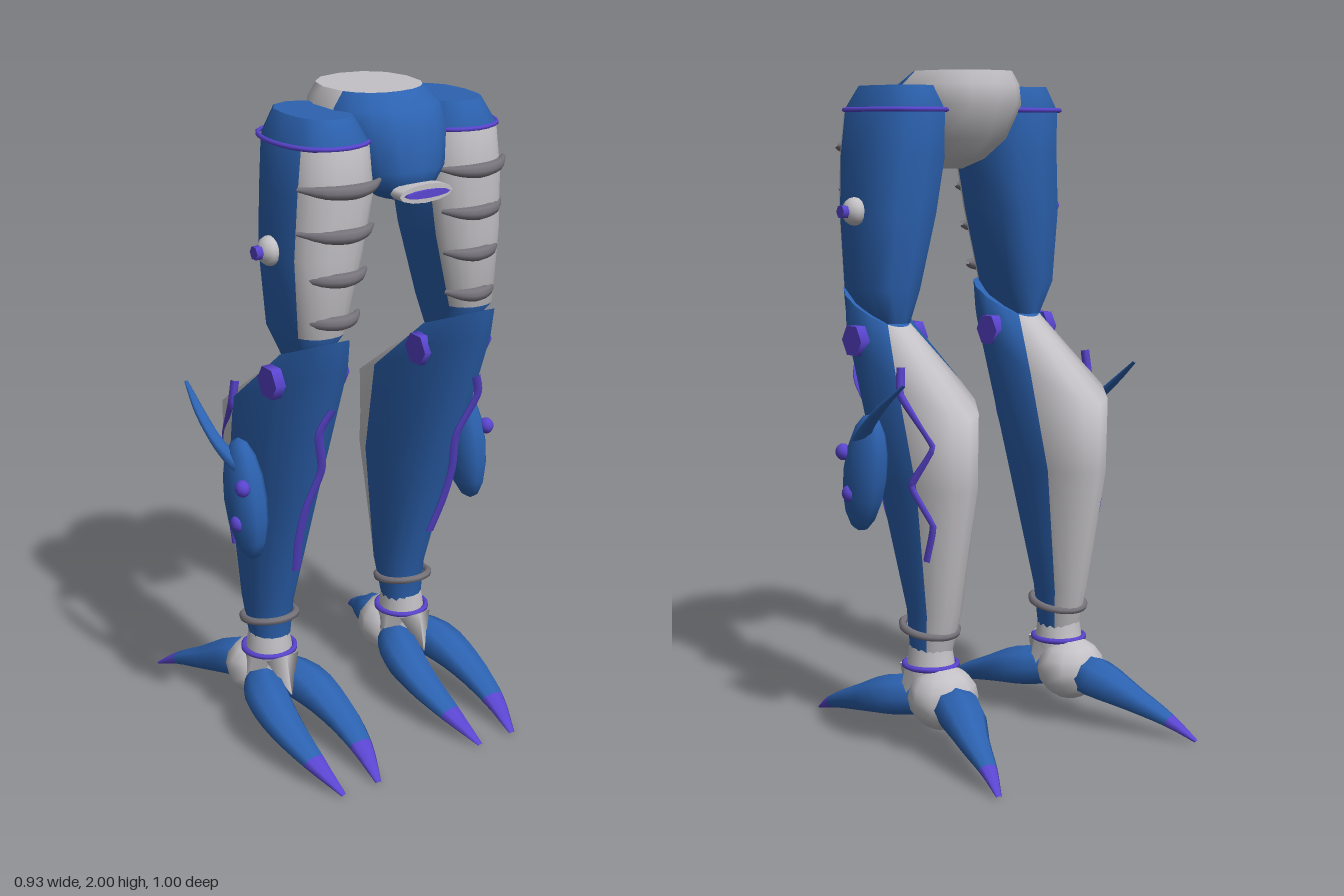
import * as THREE from 'three';

const mat = (name, color) => Object.assign(new THREE.MeshStandardMaterial({ color }), { name });
const blue = mat('blue hide', 0x2c62b0);
const grey = mat('pale armour', 0xc3c1c5);
const purple = mat('purple trim', 0x5a45d0);
const dark = mat('dark ridge', 0x77747c);

const V = (x, y, z) => new THREE.Vector3(x, y, z);
const pow = (v, e) => Math.sign(v) * Math.abs(v) ** e;

function mesh(name, geometry, material) {
  const m = new THREE.Mesh(geometry, material);
  m.name = name;
  return m;
}

// Geometry from positions and one index list per material
function build(pos, lists) {
  const g = new THREE.BufferGeometry();
  g.setAttribute('position', new THREE.Float32BufferAttribute(pos, 3));
  g.setIndex(lists.flat());
  let start = 0;
  lists.forEach((l, i) => { g.addGroup(start, l.length, i); start += l.length; });
  g.computeVertexNormals();
  return g;
}

// Upright body from rings, top to bottom. Each ring has a front and a back arc, parted at
// the cosine "split"; front, back and cap give the material number of each face.
function body(name, rings, mats, { e = 1, nF = 8, nB = 8, back = 1, cap = 0 } = {}) {
  const n = nF + nB, pos = [], lists = mats.map(() => []);
  const pts = rings.map(({ y, x, z, split = 0, tilt = 0 }) => {
    const a = Math.acos(split);
    return Array.from({ length: n }, (_, i) => {
      const t = i <= nF ? -a + (2 * a * i) / nF : a + (2 * (Math.PI - a) * (i - nF)) / nB;
      const c = pow(Math.cos(t), e), s = pow(Math.sin(t), e);
      return V((x[0] + x[1]) / 2 + s * (x[1] - x[0]) / 2, y + tilt * c,
        (z[0] + z[1]) / 2 + c * (z[1] - z[0]) / 2);
    });
  });
  pts.flat().forEach(p => pos.push(p.x, p.y, p.z));
  for (let r = 0; r + 1 < rings.length; r++) for (let i = 0; i < n; i++) {
    const j = (i + 1) % n, u = r * n, d = u + n;
    const k = i < nF ? rings[r].front ?? 0 : back;
    lists[k].push(d + i, d + j, u + j, d + i, u + j, u + i);
  }
  // end caps
  [pts[0], pts[pts.length - 1]].forEach((ring, end) => {
    const base = pos.length / 3;
    const mid = ring.reduce((s, p) => s.add(p), V(0, 0, 0)).divideScalar(n);
    [...ring, mid].forEach(p => pos.push(p.x, p.y, p.z));
    for (let i = 0; i < n; i++) {
      const j = (i + 1) % n;
      lists[cap].push(base + n, base + (end ? j : i), base + (end ? i : j));
    }
  });
  return mesh(name, build(pos, lists), mats);
}

// Tapered limb along a curve: each point is x, y, z, half width, half height
function taper(name, points, mats, tip = 2, steps = 12, n = 8) {
  const path = new THREE.CatmullRomCurve3(points.map(p => V(p[0], p[1], p[2])));
  const size = new THREE.CatmullRomCurve3(points.map(p => V(p[3], p[4], 0)));
  const pos = [], lists = mats.map(() => []), up = V(0, 1, 0);
  for (let k = 0; k <= steps; k++) {
    const c = path.getPoint(k / steps), T = path.getTangent(k / steps), r = size.getPoint(k / steps);
    const S = up.clone().cross(T).normalize(), U = T.clone().cross(S);
    for (let i = 0; i < n; i++) {
      const a = (i / n) * 2 * Math.PI;
      const p = c.clone().addScaledVector(S, Math.cos(a) * r.x).addScaledVector(U, Math.sin(a) * r.y);
      pos.push(p.x, p.y, p.z);
      if (k < steps) {
        const A = k * n, B = A + n, j = (i + 1) % n;
        lists[k / steps >= tip ? 1 : 0].push(A + i, A + j, B + j, A + i, B + j, B + i);
      }
    }
  }
  return mesh(name, build(pos, lists), mats);
}

// Thin band round a limb
function band(name, y, x, z, r, material, tilt = 0, e = 1) {
  const pts = Array.from({ length: 10 }, (_, i) => {
    const a = (i / 10) * 2 * Math.PI, c = pow(Math.cos(a), e);
    return V((x[0] + x[1]) / 2 + pow(Math.sin(a), e) * (x[1] - x[0]) / 2, y + tilt * c,
      (z[0] + z[1]) / 2 + c * (z[1] - z[0]) / 2);
  });
  return mesh(name, new THREE.TubeGeometry(new THREE.CatmullRomCurve3(pts, true), 30, r, 6, true), material);
}

// Line of trim through points
function stripe(name, pts, r, tension) {
  const curve = new THREE.CatmullRomCurve3(pts.map(p => V(...p)), false, 'catmullrom', tension);
  return mesh(name, new THREE.TubeGeometry(curve, 40, r, 6), purple);
}

// Stud whose axis runs along x
const stud = (name, x, y, z, r, h, sides) => mesh(name,
  new THREE.CylinderGeometry(r, r, h, sides).rotateZ(-Math.PI / 2).translate(x, y, z), purple);

const ball = (name, c, r, material, tilt = 0) => mesh(name,
  new THREE.SphereGeometry(1, 10, 8).scale(...r).rotateX(tilt).translate(...c), material);

function createLeg() {
  const leg = new THREE.Group();
  leg.name = 'leftLeg';
  // thigh with a pale front
  leg.add(body('thigh', [
    { y: 1.955, x: [0.13, 0.30], z: [0.06, 0.33], split: 0.5 },
    { y: 1.885, x: [0.09, 0.338], z: [0.03, 0.375], split: 0.54, front: 1 },
    { y: 1.75, x: [0.08, 0.352], z: [0.04, 0.385], split: 0.5, front: 1 },
    { y: 1.58, x: [0.11, 0.36], z: [0.05, 0.372], split: 0.52, front: 1 },
    { y: 1.36, x: [0.165, 0.347], z: [0.08, 0.352], split: 0.58 },
    { y: 1.26, x: [0.205, 0.295], z: [0.11, 0.27], split: 0.5 },
  ], [blue, grey], { e: 0.84, back: 0 }));
  leg.add(band('thighBand', 1.885, [0.088, 0.342], [0.024, 0.372], 0.007, purple, 0, 0.84));
  for (let i = 0; i < 4; i++) {
    const y = 1.785 - i * 0.123, zf = 0.386 - i * 0.01, x0 = 0.1 + i * 0.016, x1 = 0.345 - i * 0.004;
    const rib = [[0, -0.035, 0.006], [0.2, -0.004, 0.016], [0.45, 0.008, 0.021], [0.75, -0.014, 0.018], [1, -0.065, 0.006]];
    leg.add(taper('thighRidge', rib.map(([t, dz, r]) =>
      [x0 + (x1 - x0) * t, y - r * 0.6, zf + dz, r * 0.9, r]), [dark]));
  }
  leg.add(ball('thighKnob', [0.36, 1.59, 0.205], [0.036, 0.042, 0.042], grey));
  leg.add(stud('thighKnobCentre', 0.397, 1.59, 0.205, 0.02, 0.028, 6));

  // shin with a pale calf
  leg.add(body('shin', [
    { y: 1.305, x: [0.175, 0.325], z: [0.12, 0.39], split: -0.85, tilt: 0.055 },
    { y: 1.14, x: [0.13, 0.367], z: [-0.2, 0.37], split: -0.3, tilt: 0.13 },
    { y: 0.8, x: [0.143, 0.352], z: [-0.195, 0.205], split: -0.37 },
    { y: 0.42, x: [0.173, 0.318], z: [-0.115, 0.07], split: -0.5 },
    { y: 0.29, x: [0.188, 0.308], z: [-0.075, 0.055], split: -0.6 },
  ], [blue, grey], { e: 0.95, nF: 10, nB: 6 }));
  for (const x of [0.148, 0.36]) leg.add(stud('kneeStud', x, 1.21, 0.205, 0.05, 0.032, 6));
  // flat wavy stripe laid along the sloping front
  const wave = stripe('shinWave', [[0.25, 0.3, 0], [0.277, 0.22, 0], [0.24, 0.08, 0], [0.262, -0.06, 0],
    [0.262, -0.18, 0], [0.245, -0.31, 0]], 0.015, 0.4);
  wave.geometry.scale(1, 1, 0.3).rotateX(Math.atan(0.355)).translate(0, 0.865, 0.246);
  leg.add(wave);
  leg.add(stripe('calfZigzag', [[0.352, 1.15, -0.01], [0.358, 1.07, -0.02], [0.32, 0.93, -0.125],
    [0.347, 0.81, -0.055], [0.314, 0.7, -0.115], [0.315, 0.59, -0.085]], 0.014, 0.15));

  // pod with horn and studs
  leg.add(ball('sidePod', [0.396, 0.83, 0.112], [0.053, 0.182, 0.086], blue, -0.2));
  leg.add(taper('podHorn', [[0.41, 0.93, 0.11, 0.028, 0.022], [0.436, 0.98, 0.04, 0.022, 0.014],
    [0.445, 1.05, -0.05, 0.017, 0.009], [0.438, 1.12, -0.145, 0.006, 0.004]], [blue]));
  leg.add(ball('podStud', [0.437, 0.89, 0.165], [0.022, 0.025, 0.025], purple));
  leg.add(ball('podStud', [0.438, 0.77, 0.135], [0.02, 0.025, 0.025], purple));

  // ankle
  leg.add(band('ankleRidge', 0.367, [0.17, 0.33], [-0.09, 0.078], 0.012, dark, 0.015));
  leg.add(body('ankle', [
    { y: 0.31, x: [0.19, 0.31], z: [-0.08, 0.06] }, { y: 0.26, x: [0.18, 0.32], z: [-0.085, 0.065] },
    { y: 0.2, x: [0.175, 0.325], z: [-0.1, 0.07] }], [grey, grey]));
  leg.add(band('ankleBand', 0.255, [0.172, 0.328], [-0.09, 0.07], 0.009, purple));
  leg.add(ball('heel', [0.25, 0.165, -0.07], [0.108, 0.096, 0.1], grey));
  for (const a of [0, 1.35, -1.35]) leg.add(mesh('ankleSpike', new THREE.CylinderGeometry(0.058, 0.002, 0.12, 4)
    .scale(1, 1, 0.5).rotateX(-0.45).translate(0, 0.195, a ? 0.075 : 0.092).rotateY(a).translate(0.25, 0, 0), grey));

  // two front claws and one back claw
  for (const s of [-1, 1]) leg.add(taper('frontClaw', [[0.25 + s * 0.02, 0.165, -0.02, 0.05, 0.06],
    [0.25 + s * 0.072, 0.148, 0.09, 0.068, 0.062], [0.25 + s * 0.09, 0.112, 0.22, 0.06, 0.042],
    [0.25 + s * 0.083, 0.064, 0.37, 0.038, 0.024], [0.25 + s * 0.061, 0.008, 0.497, 0.009, 0.004]],
  [blue, purple], 0.74));
  leg.add(taper('backClaw', [[0.255, 0.16, -0.08, 0.05, 0.05], [0.268, 0.15, -0.17, 0.072, 0.062],
    [0.315, 0.1, -0.3, 0.048, 0.038], [0.35, 0.057, -0.41, 0.028, 0.02], [0.38, 0.008, -0.497, 0.008, 0.004]],
  [blue, purple], 0.74));
  return leg;
}

// Mirrored copy with the corner order turned round
function mirror(group, name) {
  const copy = new THREE.Group();
  copy.name = name;
  for (const m of group.children) {
    const g = m.geometry.clone().scale(-1, 1, 1), a = g.index.array;
    for (let i = 0; i < a.length; i += 3) [a[i], a[i + 1]] = [a[i + 1], a[i]];
    copy.add(mesh(m.name, g, m.material));
  }
  return copy;
}

// Oval plate facing the front
const plate = (name, rx, ry, depth, y, z, material) => mesh(name,
  new THREE.CylinderGeometry(1, 1, depth, 12).rotateX(Math.PI / 2).scale(rx, ry, 1).translate(0, y, z), material);

export function createModel() {
  const model = new THREE.Group();
  model.name = 'armouredLegs';
  // pelvis: blue front, pale back and top
  model.add(body('pelvis', [
    { y: 2, x: [-0.14, 0.14], z: [0, 0.3], split: 0.4 },
    { y: 1.96, x: [-0.172, 0.172], z: [-0.012, 0.36], split: 0.25 },
    { y: 1.9, x: [-0.18, 0.18], z: [-0.02, 0.392], split: 0.2 },
    { y: 1.8, x: [-0.15, 0.15], z: [0.03, 0.41], split: 0.1 },
    { y: 1.74, x: [-0.1, 0.1], z: [0.1, 0.395], split: 0.1 },
    { y: 1.71, x: [-0.05, 0.05], z: [0.18, 0.34], split: 0.1 },
  ], [blue, grey], { e: 0.9, cap: 1 }));
  model.add(plate('buckle', 0.088, 0.026, 0.045, 1.745, 0.404, grey));
  model.add(plate('buckleBar', 0.073, 0.011, 0.009, 1.745, 0.431, purple));
  const leg = createLeg();
  model.add(leg, mirror(leg, 'rightLeg'));
  return model;
}
